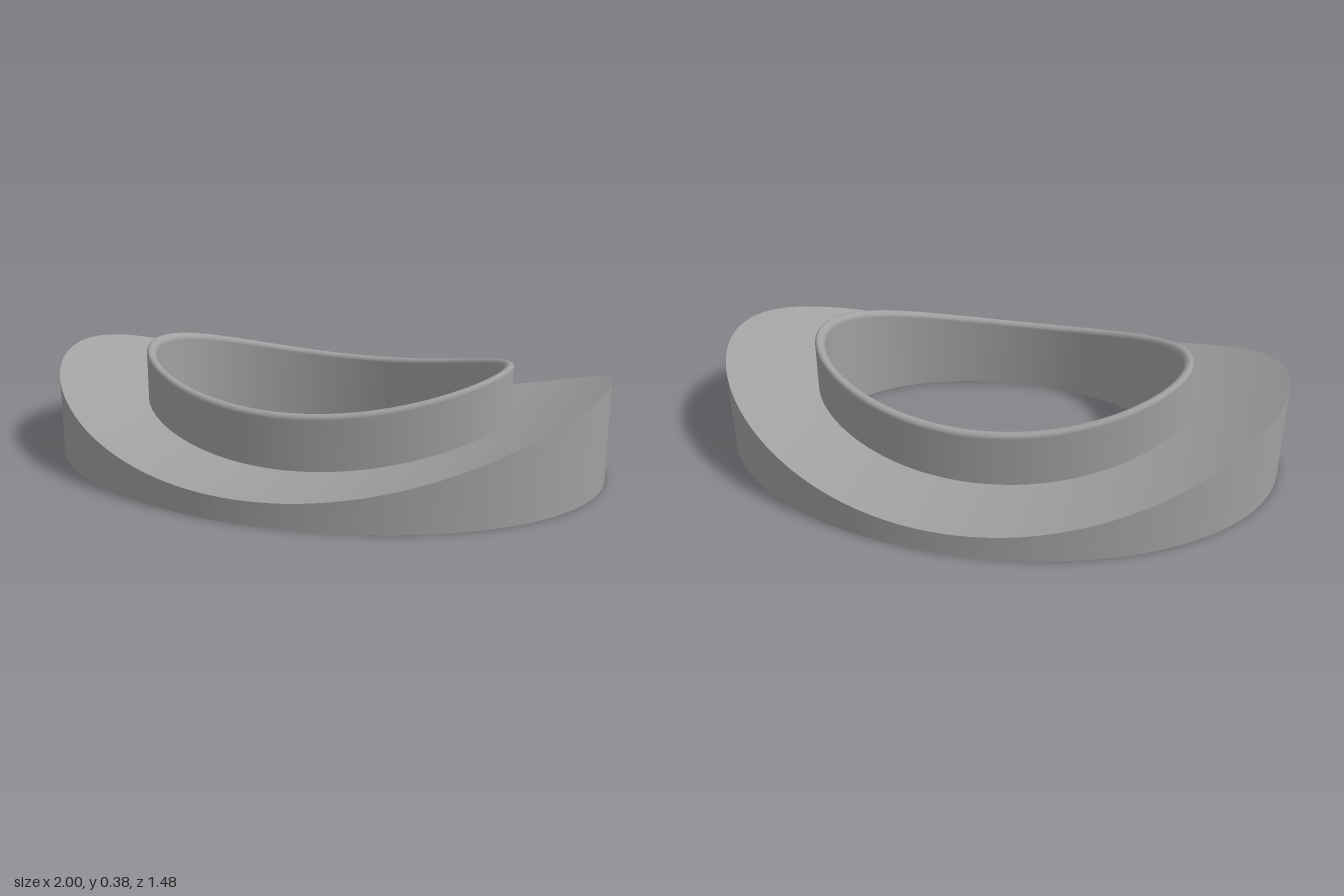
import * as THREE from 'three';

const SEGMENTS = 128;
const ARC_RADIUS = 2.02;

// Saddle height: a cylinder running along z, lowest at x = 0
const saddle = (x) => 0.077 + ARC_RADIUS - Math.sqrt(ARC_RADIUS * ARC_RADIUS - x * x);

// Closed elliptical skin through rings of { rx, rz, y }, y being a number or a rule of x
function skin(name, rings, material) {
  const positions = [], index = [];
  for (const { rx, rz, y } of rings) {
    for (let i = 0; i < SEGMENTS; i++) {
      const t = (i / SEGMENTS) * Math.PI * 2;
      const x = rx * Math.cos(t);
      positions.push(x, typeof y === 'function' ? y(x) : y, rz * Math.sin(t));
    }
  }
  for (let j = 0; j < rings.length - 1; j++) {
    for (let i = 0; i < SEGMENTS; i++) {
      const k = (i + 1) % SEGMENTS;
      const a = j * SEGMENTS + i, b = j * SEGMENTS + k;
      const c = a + SEGMENTS, d = b + SEGMENTS;
      index.push(a, c, b, b, c, d);
    }
  }
  const geometry = new THREE.BufferGeometry();
  geometry.setAttribute('position', new THREE.Float32BufferAttribute(positions, 3));
  geometry.setIndex(index);
  geometry.computeVertexNormals();
  const mesh = new THREE.Mesh(geometry, material);
  mesh.name = name;
  return mesh;
}

export function createModel() {
  const grey = new THREE.MeshStandardMaterial({ color: 0xa0a0a0 });
  grey.name = 'grey';

  const outer = { rx: 1, rz: 0.74 };
  const collar = { rx: 0.677, rz: 0.445 };
  const wall = 0.035;
  const hole = { rx: collar.rx - wall, rz: collar.rz - wall };

  const model = new THREE.Group();
  model.name = 'saddleRing';

  // Flange: outer wall, curved top and flat underside
  const flange = new THREE.Group();
  flange.name = 'flange';
  const topRings = [];
  for (let j = 0; j <= 8; j++) {
    topRings.push({
      rx: THREE.MathUtils.lerp(outer.rx, collar.rx, j / 8),
      rz: THREE.MathUtils.lerp(outer.rz, collar.rz, j / 8),
      y: saddle,
    });
  }
  flange.add(
    skin('flangeWall', [{ ...outer, y: 0 }, { ...outer, y: saddle }], grey),
    skin('flangeTop', topRings, grey),
    skin('flangeBase', [{ ...hole, y: 0 }, { ...outer, y: 0 }], grey),
  );

  // Collar: outer face, rounded lip, then the bore down to the base
  const r = wall / 2;
  const collarRings = [{ ...collar, y: saddle }];
  for (let j = 0; j <= 10; j++) {
    const a = (j / 10) * Math.PI;
    const inset = r * (1 - Math.cos(a));
    collarRings.push({
      rx: collar.rx - inset,
      rz: collar.rz - inset,
      y: (x) => saddle(x) + 0.19 - r + r * Math.sin(a),
    });
  }
  collarRings.push({ ...hole, y: 0 });

  model.add(flange, skin('collar', collarRings, grey));
  return model;
}
